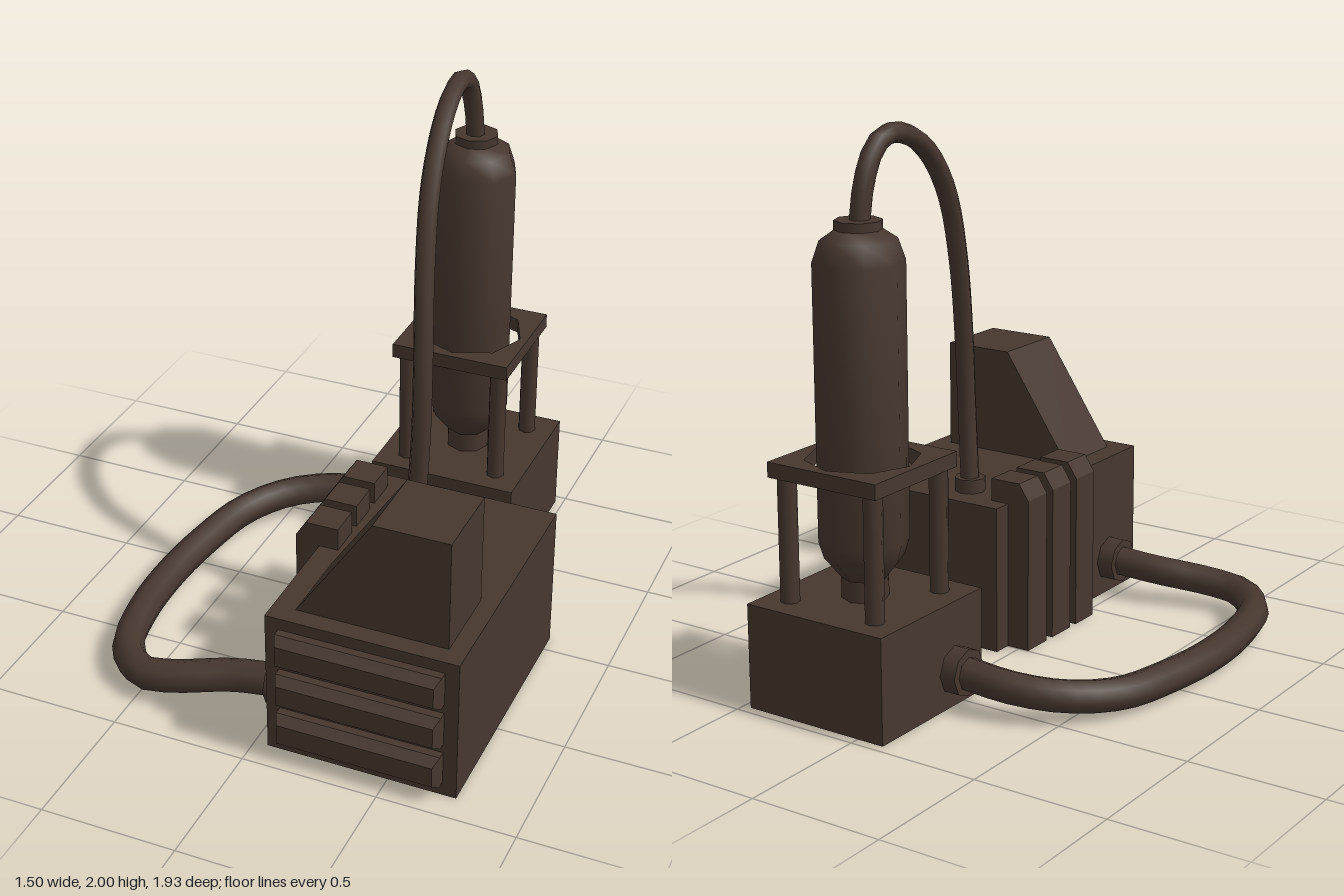
import * as THREE from 'three';
import { toCreasedNormals } from 'three/addons/utils/BufferGeometryUtils.js';

export function createModel() {
  const model = new THREE.Group();
  model.name = 'pumpUnit';
  const brown = new THREE.MeshStandardMaterial({ color: 0x46372e });
  brown.name = 'darkBrown';

  const add = (name, geometry, x = 0, y = 0, z = 0) => {
    const mesh = new THREE.Mesh(geometry, brown);
    mesh.name = name;
    mesh.position.set(x, y, z);
    model.add(mesh);
    return mesh;
  };
  // box given by its extents
  const box = (name, x0, x1, y0, y1, z0, z1) =>
    add(name, new THREE.BoxGeometry(x1 - x0, y1 - y0, z1 - z0), (x0 + x1) / 2, (y0 + y1) / 2, (z0 + z1) / 2);
  // side profile in x and y, extruded along z
  const prism = (name, points, z0, z1) => {
    const shape = new THREE.Shape(points.map(([x, y]) => new THREE.Vector2(x, y)));
    return add(name, new THREE.ExtrudeGeometry(shape, { depth: z1 - z0, bevelEnabled: false }), 0, 0, z0);
  };
  const tube = (name, points, radius, segments) => {
    const curve = new THREE.CatmullRomCurve3(points.map((p) => new THREE.Vector3(...p)));
    return add(name, new THREE.TubeGeometry(curve, segments, radius, 8));
  };

  // main housing with sloped hood
  box('housing', 0.05, 0.75, 0, 0.555, -0.07, 0.9);
  prism('hood', [[0.13, 0.55], [0.685, 0.55], [0.685, 0.967], [0.41, 0.967]], 0.53, 0.83);

  // ribs wrapped over the right edge of the housing
  for (let i = 0; i < 3; i++) {
    const z = 0.003 + i * 0.163;
    prism('sideRib', [[-0.04, 0], [0.122, 0], [0.122, 0.64], [0, 0.64], [-0.04, 0.58]], z, z + 0.123);
  }

  // front slats with bevelled faces
  for (let i = 0; i < 3; i++) {
    const w = 0.6, h = 0.128, d = 0.07;
    const g = new THREE.BoxGeometry(w, h, d, 1, 1, 2);
    const p = g.attributes.position;
    for (let k = 0; k < p.count; k++) {
      if (p.getZ(k) > 0.01) {
        p.setX(k, p.getX(k) * (1 - 0.03 / w));
        p.setY(k, p.getY(k) * (1 - 0.05 / h));
      }
    }
    const flat = g.toNonIndexed();
    flat.computeVertexNormals();
    add('frontSlat', flat, 0.4, 0.117 + i * 0.165, 0.93);
  }

  // tank base and stand
  const cx = 0.182, cz = -0.677;
  box('tankBase', -0.105, 0.469, 0, 0.383, -0.965, -0.39);
  for (const sx of [-1, 1]) {
    for (const sz of [-1, 1]) {
      add('standPost', new THREE.CylinderGeometry(0.034, 0.034, 0.46, 8), cx + sx * 0.183, 0.61, cz + sz * 0.183);
    }
  }
  const s = 0.229;
  const plate = new THREE.Shape([[-s, -s], [s, -s], [s, s], [-s, s]].map(([x, y]) => new THREE.Vector2(x, y)));
  const hole = [];
  for (let i = 0; i < 8; i++) {
    const a = -i * Math.PI / 4;
    hole.push(new THREE.Vector2(Math.cos(a) * 0.2, Math.sin(a) * 0.2));
  }
  plate.holes.push(new THREE.Path(hole));
  const plateGeometry = new THREE.ExtrudeGeometry(plate, { depth: 0.055, bevelEnabled: false });
  plateGeometry.rotateX(-Math.PI / 2);
  add('standPlate', plateGeometry, cx, 0.83, cz);

  // tank, neck and cap
  const profile = [[0, 0.455], [0.08, 0.455], [0.14, 0.53], [0.158, 0.59],
    [0.158, 1.56], [0.132, 1.635], [0.08, 1.67], [0, 1.67]].map(([r, y]) => new THREE.Vector2(r, y));
  add('tank', toCreasedNormals(new THREE.LatheGeometry(profile, 8), 0.9), cx, 0, cz);
  add('tankNeck', new THREE.CylinderGeometry(0.083, 0.083, 0.09, 8), cx, 0.42, cz);
  add('tankCap', new THREE.CylinderGeometry(0.083, 0.083, 0.05, 8), cx, 1.675, cz);

  // thin pipe arching from the tank to the housing
  add('pipeSocket', new THREE.CylinderGeometry(0.058, 0.058, 0.06, 8), 0.262, 0.577, 0.066);
  tube('archPipe', [[0.18, 1.66, -0.677], [0.176, 1.82, -0.65], [0.175, 1.93, -0.59], [0.178, 1.965, -0.51],
    [0.185, 1.945, -0.39], [0.2, 1.86, -0.25], [0.217, 1.7, -0.125], [0.243, 1.445, -0.025],
    [0.27, 1.13, 0.045], [0.276, 0.86, 0.068], [0.262, 0.57, 0.066]], 0.036, 32);

  // thick hose looping between base and housing
  for (const [x, y, z] of [[0.02, 0.138, 0.715], [-0.13, 0.135, -0.552]]) {
    add('hoseSocket', new THREE.CylinderGeometry(0.087, 0.087, 0.07, 8), x, y, z).rotation.z = Math.PI / 2;
  }
  tube('loopHose', [[-0.12, 0.135, -0.552], [-0.33, 0.115, -0.54], [-0.5, 0.095, -0.46], [-0.62, 0.078, -0.3],
    [-0.675, 0.07, -0.05], [-0.695, 0.066, 0.2], [-0.678, 0.068, 0.45], [-0.615, 0.073, 0.68],
    [-0.49, 0.083, 0.8], [-0.35, 0.1, 0.79], [-0.17, 0.122, 0.735], [0.02, 0.138, 0.712]], 0.06, 32);

  return model;
}
